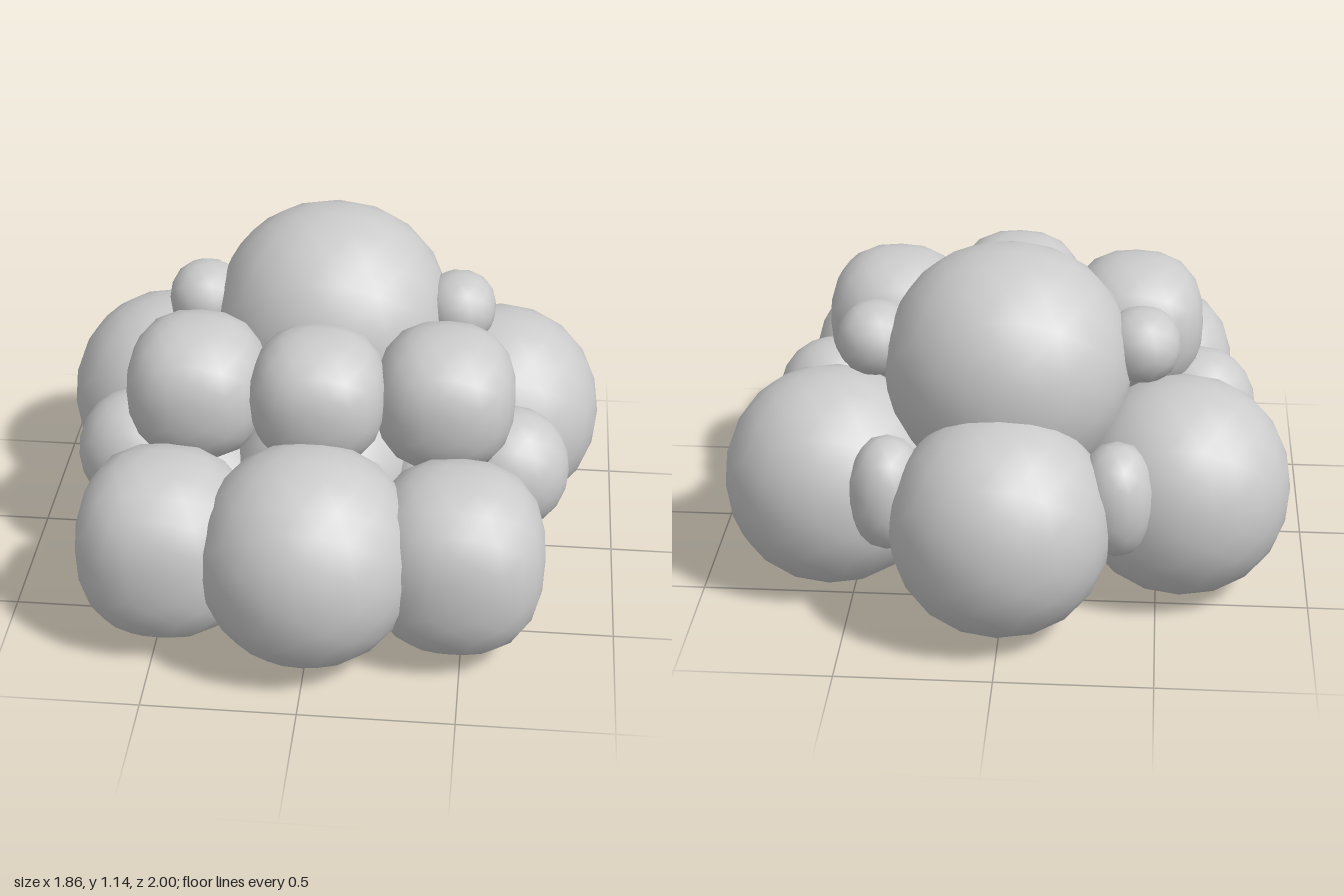
import * as THREE from 'three';
import { mergeVertices } from 'three/addons/utils/BufferGeometryUtils.js';

const material = new THREE.MeshStandardMaterial({ color: 0xcccccc });

// Low-poly ball; a power above 2 makes it slightly boxy.
function puffGeometry(detail, power) {
  let g = new THREE.IcosahedronGeometry(1, detail);
  g.deleteAttribute('normal');
  g.deleteAttribute('uv');
  g = mergeVertices(g, 1e-4);
  const p = g.attributes.position;
  const v = new THREE.Vector3();
  for (let i = 0; i < p.count; i++) {
    v.fromBufferAttribute(p, i);
    const n = Math.abs(v.x) ** power + Math.abs(v.y) ** power + Math.abs(v.z) ** power;
    v.multiplyScalar(1 / n ** (1 / power));
    p.setXYZ(i, v.x, v.y, v.z);
  }
  g.computeVertexNormals();
  return g;
}

const round = puffGeometry(3, 2.1);
const boxy = puffGeometry(3, 2.5);
const small = puffGeometry(2, 2.2);

// Puffs on the centre line: name, geometry, centre, radii
const centrePuffs = [
  ['frontPuff', round, [0, 0.365, 0.64], [0.355, 0.36, 0.36]],
  ['backPuff', round, [0, 0.37, -0.65], [0.355, 0.36, 0.35]],
  ['crownPuff', round, [0, 0.74, -0.25], [0.405, 0.4, 0.4]],
  ['upperFrontPuff', boxy, [0, 0.75, 0.285], [0.22, 0.215, 0.225]],
  ['underPuff', round, [0, 0.34, 0.07], [0.31, 0.31, 0.31]],
];

// Puffs mirrored to both sides
const sidePuffs = [
  ['frontSidePuff', boxy, [0.475, 0.335, 0.565], [0.285, 0.305, 0.285]],
  ['rearSidePuff', round, [0.577, 0.362, -0.335], [0.355, 0.36, 0.355]],
  ['upperSidePuff', boxy, [0.41, 0.71, 0.19], [0.23, 0.23, 0.24]],
  ['outerSidePuff', round, [0.625, 0.413, 0.14], [0.205, 0.21, 0.195]],
  ['underSidePuff', small, [0.4, 0.3, 0.14], [0.19, 0.18, 0.18]],
  ['crownSidePuff', small, [0.435, 0.815, -0.23], [0.125, 0.12, 0.14]],
  ['rearGapPuff', small, [0.365, 0.44, -0.595], [0.125, 0.19, 0.14]],
];

function addPuff(group, name, geometry, centre, radii, side = 1) {
  const mesh = new THREE.Mesh(geometry, material);
  mesh.name = name;
  mesh.position.set(centre[0] * side, centre[1], centre[2]);
  mesh.scale.set(...radii);
  group.add(mesh);
}

export function createModel() {
  const group = new THREE.Group();
  group.name = 'cloud';
  for (const [name, geo, centre, radii] of centrePuffs) addPuff(group, name, geo, centre, radii);
  for (const [name, geo, centre, radii] of sidePuffs) {
    addPuff(group, name + 'Left', geo, centre, radii, 1);
    addPuff(group, name + 'Right', geo, centre, radii, -1);
  }
  return group;
}
